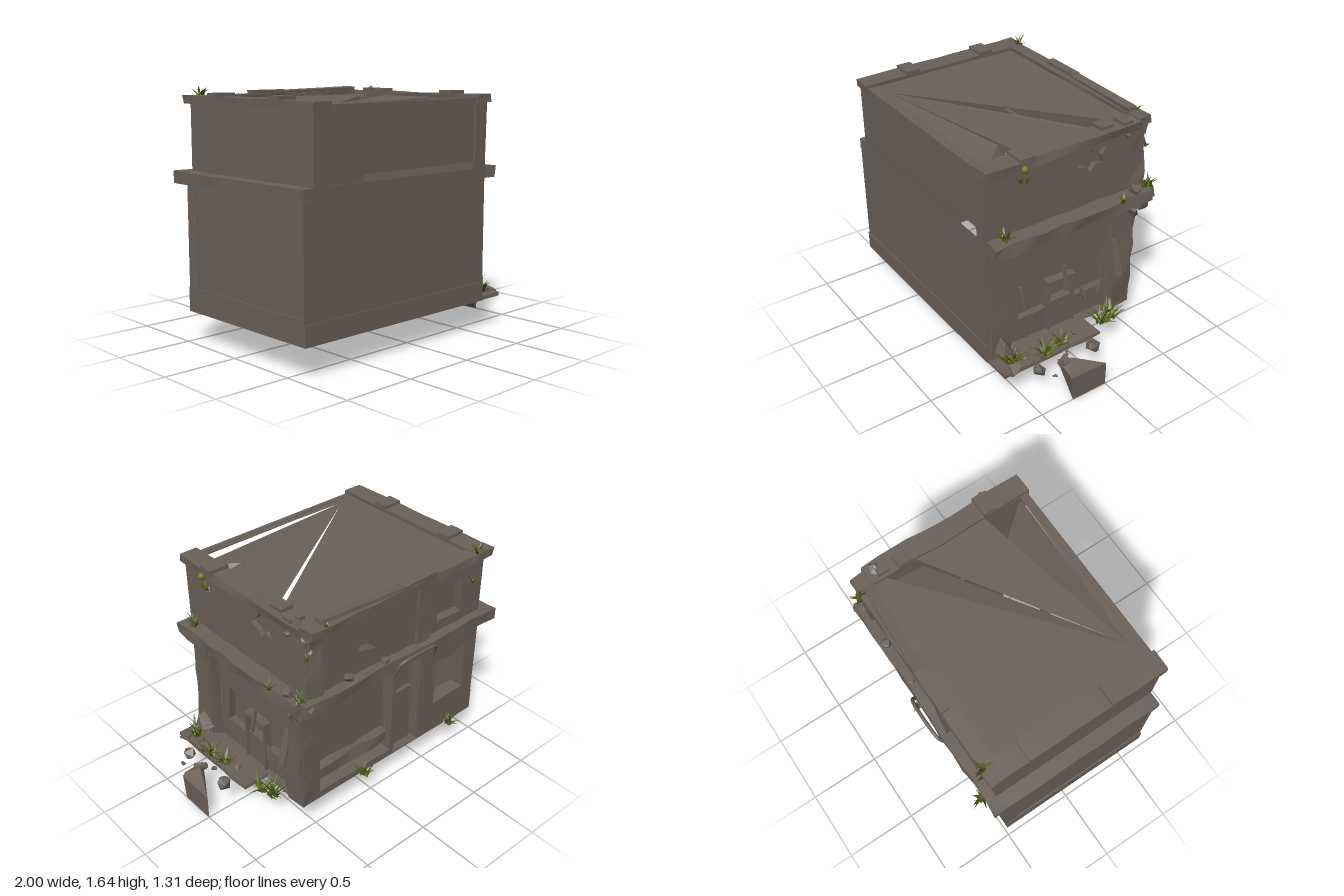
import * as THREE from 'three';
import { ConvexGeometry } from 'three/addons/geometries/ConvexGeometry.js';
import { mergeGeometries } from 'three/addons/utils/BufferGeometryUtils.js';

const mat = (name, color, o = {}) => Object.assign(new THREE.MeshStandardMaterial({ color, ...o }), { name });

export function createModel() {
  const root = new THREE.Group();
  root.name = 'ruinedShop';
  const stone = mat('stone', 0x6a6058);
  const sheet = mat('roofSheet', 0x6a6058, { side: THREE.DoubleSide });
  const leaf = mat('leaf', 0x4f5a1c, { side: THREE.DoubleSide });
  const dryLeaf = mat('dryLeaf', 0x6c7028, { side: THREE.DoubleSide });

  let seed = 7;
  const rnd = () => (seed = (seed * 16807) % 2147483647) / 2147483647;
  const add = (name, geo, m = stone) => {
    const mesh = new THREE.Mesh(geo, m);
    mesh.name = name;
    root.add(mesh);
    return mesh;
  };
  const box = (name, x0, x1, y0, y1, z0, z1) =>
    add(name, new THREE.BoxGeometry(x1 - x0, y1 - y0, z1 - z0).translate((x0 + x1) / 2, (y0 + y1) / 2, (z0 + z1) / 2));
  // Box whose subdivided surface is worn by position-based noise
  const worn = (name, x0, x1, y0, y1, z0, z1, amp) => {
    const n = (a, b) => Math.max(1, Math.round((b - a) / 0.12));
    const g = new THREE.BoxGeometry(x1 - x0, y1 - y0, z1 - z0, n(x0, x1), n(y0, y1), n(z0, z1));
    g.translate((x0 + x1) / 2, (y0 + y1) / 2, (z0 + z1) / 2);
    const p = g.attributes.position;
    const h = (x, y, z, k) => {
      const s = Math.sin(Math.round(x * 1000) * 0.127 + Math.round(y * 1000) * 0.311 + Math.round(z * 1000) * 0.747 + k) * 43758.5;
      return (s - Math.floor(s) - 0.5) * 2 * amp;
    };
    for (let i = 0; i < p.count; i++) {
      const x = p.getX(i), y = p.getY(i), z = p.getZ(i);
      p.setXYZ(i, x + h(x, y, z, 1), y + h(x, y, z, 2) * 0.5, z + h(x, y, z, 3));
    }
    g.computeVertexNormals();
    return add(name, g);
  };
  const poly = (pts, Type = THREE.Shape) => new Type(pts.map(([a, b]) => new THREE.Vector2(a, b)));
  const rect = (a0, a1, b0, b1) => [[a0, b0], [a1, b0], [a1, b1], [a0, b1]];
  const pierced = (outline, holes, depth) => {
    const s = poly(outline);
    s.holes = holes.map(h => poly(h, THREE.Path));
    return new THREE.ExtrudeGeometry(s, { depth, bevelEnabled: false });
  };
  // Outline in (x, y), back face at z
  const backWall = (name, z, depth, outline, holes) => add(name, pierced(outline, holes, depth).translate(0, 0, z));
  // Outline in (z, y), outer face at x
  const sideWall = (name, x, depth, outline, holes) =>
    add(name, pierced(outline, holes, depth).rotateY(-Math.PI / 2).translate(x, 0, 0));

  // Lower storey
  add('frontWall', new THREE.PlaneGeometry(1.58, 0.9).translate(-0.19, 0.65, 0.63));
  box('frontPlinth', -0.98, 0.6, 0.2, 0.33, 0.625, 0.637);
  add('floorUnderside', new THREE.PlaneGeometry(1.58, 1.13).rotateX(Math.PI / 2).translate(-0.19, 0.2, 0.065));
  box('leftWall', -0.97, -0.87, 0.2, 1.05, -0.49, 0.629);
  box('leftPlinth', -0.98, -0.96, 0.2, 0.36, -0.5, 0.629);
  backWall('lowerBackWall', -0.5, 0.1, rect(-0.975, 0.6, 0.2, 1.05), [
    [[-0.87, 0.45], [-0.58, 0.44], [-0.57, 0.8], [-0.68, 0.78], [-0.86, 0.81]],
    rect(-0.43, -0.2, 0.21, 0.9),
    rect(-0.17, 0.46, 0.25, 0.9),
  ]);
  box('doorwayBacking', -0.45, -0.18, 0.2, 0.92, -0.41, -0.39);
  box('backDoor', -0.41, -0.23, 0.2, 0.65, -0.44, -0.41);
  box('shopWindowBacking', -0.18, 0.5, 0.2, 0.92, -0.41, -0.39);
  worn('brokenSill', -0.15, 0.45, 0.33, 0.41, -0.47, -0.41, 0.015);
  sideWall('lowerRightWall', 0.6, 0.1, rect(-0.5, 0.63, 0.2, 1.05), [
    [[-0.34, 0.21], [0.44, 0.21], [0.45, 0.55], [0.44, 0.9], [-0.34, 0.9]],
  ]);
  worn('cornerRubbleFront', 0.56, 0.612, 0.22, 1.02, 0.47, 0.62, 0.011);
  worn('cornerRubbleBack', 0.53, 0.612, 0.2, 1.02, -0.5, -0.36, 0.014);

  // Boarded and broken side entrance
  box('entranceBacking', 0.47, 0.49, 0.2, 0.92, -0.36, 0.46);
  box('entranceSill', 0.49, 0.54, 0.2, 0.37, -0.34, 0.44);
  sideWall('entranceFrame', 0.54, 0.05, rect(-0.34, 0.44, 0.37, 0.9), [
    [[-0.33, 0.38], [0.36, 0.38], [0.33, 0.66], [0.02, 0.66], [-0.2, 0.6], [-0.33, 0.72]],
  ]);
  sideWall('sideDoorFrame', 0.57, 0.06, rect(-0.07, 0.14, 0.2, 0.59), [rect(-0.055, 0.125, 0.21, 0.57)]);
  box('sideDoor', 0.49, 0.55, 0.2, 0.42, -0.06, 0.13);
  [[0.36, 0.58, 0.12, 0.16], [0.02, 0.59, -0.08, 0.18], [-0.13, 0.41, 0.25, 0.1], [-0.27, 0.41, -0.35, 0.1]].forEach(([z, y, r, len]) => {
    const plank = add('loosePlank', new THREE.BoxGeometry(0.018, len, 0.018));
    plank.position.set(0.58, y, z);
    plank.rotation.set(r, 0, 0.15);
  });
  const board = add('hangingBoard', new THREE.BoxGeometry(0.02, 0.32, 0.05));
  board.position.set(0.62, 0.65, -0.36);
  board.rotation.z = 0.25;

  // Cornice between the storeys
  worn('leftCornice', -0.995, -0.88, 1.03, 1.1, -0.6, 0.63, 0.004);
  worn('backCornice', -0.99, 0.66, 1.02, 1.1, -0.615, -0.45, 0.01);
  worn('rightCornice', 0.52, 0.705, 1.03, 1.11, -0.56, 0.63, 0.013);
  for (const z of [0.49, 0.03, -0.47]) box('corniceBracket', 0.6, 0.645, z === 0.03 ? 0.99 : 0.93, 1.03, z - 0.012, z + 0.012);
  const bar = new THREE.CatmullRomCurve3([[-0.42, 0.98, -0.6], [-0.4, 1.07, -0.635], [-0.37, 1.09, -0.645],
    [-0.12, 1.09, -0.645], [-0.09, 1.07, -0.635], [-0.07, 0.98, -0.6]].map(p => new THREE.Vector3(...p)));
  add('signBar', new THREE.TubeGeometry(bar, 30, 0.012, 6));

  // Upper storey; the front panel leaves a slot at its foot
  box('upperLeftWall', -0.9, -0.8, 1.05, 1.55, -0.54, 0.63);
  add('upperFrontPanel', new THREE.PlaneGeometry(1.34, 0.395).translate(-0.15, 1.3425, 0.615));
  backWall('upperBackWall', -0.55, 0.06, rect(-0.9, 0.6, 1.05, 1.55), [
    [[-0.72, 1.17], [-0.49, 1.18], [-0.5, 1.42], [-0.7, 1.43]],
    [[0.05, 1.22], [0.2, 1.26], [0.16, 1.35], [0.07, 1.32]],
  ]);
  box('upperBackLining', -0.85, 0.55, 1.13, 1.54, -0.49, -0.45);
  worn('upperPilaster', -0.4, -0.29, 1.1, 1.53, -0.575, -0.54, 0.01);
  const star = [[-0.02, 1.47], [-0.08, 1.44], [-0.12, 1.49], [-0.16, 1.45], [-0.25, 1.48], [-0.22, 1.42],
    [-0.23, 1.36], [-0.17, 1.38], [-0.13, 1.33], [-0.1, 1.37], [-0.03, 1.39]];
  sideWall('upperRightWall', 0.6, 0.04, [[-0.54, 1.05], [0.63, 1.05], [0.64, 1.55], [-0.54, 1.55]], [star]);
  box('upperRightLining', 0.5, 0.565, 1.05, 1.55, -0.5, 0.63);
  worn('upperCornerRubble', 0.5, 0.605, 1.1, 1.53, -0.565, -0.46, 0.02);

  // Roof rim and parapet blocks
  worn('leftRim', -0.92, -0.78, 1.53, 1.58, -0.6, 0.645, 0.003);
  worn('rightRim', 0.5, 0.63, 1.53, 1.58, -0.5, 0.645, 0.01);
  worn('backRim', -0.92, 0.6, 1.53, 1.58, -0.6, -0.5, 0.007);
  box('frontRim', -0.8, 0.52, 1.53, 1.56, 0.6, 0.635);
  const slab = add('tiltedRimSlab', new THREE.BoxGeometry(0.66, 0.025, 0.06));
  slab.position.set(0.17, 1.59, -0.55);
  slab.rotation.set(0.1, -0.05, 0.03);
  for (const [x0, x1, z0, z1] of [[-0.92, -0.78, -0.34, -0.24], [-0.92, -0.78, 0.24, 0.34], [0.52, 0.62, -0.44, -0.36],
    [0.5, 0.59, -0.31, -0.21], [0.5, 0.64, 0.31, 0.41], [-0.41, -0.12, -0.6, -0.54]]) {
    box('parapetBlock', x0, x1, 1.55, 1.602, z0, z1);
  }

  // Split roof: three level sheets with fallen sheets sloping down between them
  const flat = (name, pts) => {
    const g = new THREE.ShapeGeometry(poly(pts.map(([x, z]) => [x, -z]))).rotateX(-Math.PI / 2).translate(0, 1.556, 0);
    add(name, g, sheet);
  };
  flat('mainRoofSheet', [[-0.85, -0.55], [0.52, -0.55], [0.52, -0.42], [-0.66, 0.55], [-0.66, 0.63], [-0.85, 0.63]]);
  flat('middleRoofSheet', [[-0.66, 0.55], [0.52, -0.2], [0.52, 0.31]]);
  flat('frontRoofSheet', [[-0.66, 0.55], [0.52, 0.58], [0.52, 0.63], [-0.66, 0.63]]);
  const fallen = (...pts) => {
    const g = new THREE.BufferGeometry().setFromPoints(pts.map(p => new THREE.Vector3(...p)));
    g.computeVertexNormals();
    add('fallenRoofSheet', g, sheet);
  };
  fallen([-0.68, 1.555, 0.565], [0.52, 1.42, -0.16], [0.52, 1.46, -0.46]);
  fallen([-0.68, 1.555, 0.555], [0.52, 1.48, 0.6], [0.3, 1.53, 0.34]);
  fallen([0.3, 1.53, 0.34], [0.52, 1.48, 0.6], [0.52, 1.25, 0.28]);

  // Pavement, broken slab and rubble
  worn('pavement', 0.58, 0.785, 0.2, 0.225, -0.12, 0.63, 0.005);
  add('brokenSlab', new ConvexGeometry([[0.84, 0.22, 0.27], [0.91, 0.25, 0.2], [0.98, 0.2, 0.28], [1, 0.17, 0], [1, 0, 0],
    [1, 0, 0.26], [1, 0.18, 0.28]].map(p => new THREE.Vector3(...p))));
  const rock = (x, y, z, r) => {
    const pts = Array.from({ length: 12 }, () => new THREE.Vector3(rnd() - 0.5, (rnd() - 0.5) * 0.8, rnd() - 0.5)
      .normalize().multiplyScalar(r));
    add('rubble', new ConvexGeometry(pts)).position.set(x, y, z);
  };
  [[0.86, 0.22, 0, 0.05], [0.85, 0.21, 0.41, 0.045], [0.88, 0.22, 0.24, 0.05], [0.78, 0.23, 0.55, 0.05], [0.94, 0.2, 0.36, 0.018],
    [0.82, 0.21, 0.17, 0.02], [0.72, 0.23, 0.45, 0.03], [0.7, 0.23, 0.05, 0.03], [0.62, 0.3, 0.53, 0.08],
    [0.66, 1.13, -0.45, 0.045], [0.65, 1.0, -0.52, 0.055], [0.63, 0.95, -0.46, 0.05], [0.62, 1.07, -0.58, 0.05],
    [0.58, 1.57, -0.43, 0.05], [0.58, 1.5, -0.52, 0.05], [0.57, 1.42, -0.54, 0.035], [0.3, 1.13, -0.58, 0.035],
    [0.0, 1.12, -0.58, 0.03], [0.61, 1.5, -0.4, 0.025]].forEach(a => rock(...a));

  // Grass tufts made of narrow bent blades
  const tuft = (x, y, z, size, count, m = leaf) => {
    const blades = [];
    for (let i = 0; i < count; i++) {
      const h = size * (0.6 + rnd() * 0.5);
      const g = new THREE.PlaneGeometry(0.028, h, 1, 3);
      const p = g.attributes.position;
      for (let k = 0; k < p.count; k++) {
        const t = p.getY(k) / h + 0.5;
        p.setXYZ(k, p.getX(k) * (1 - t * 0.95), t * h, t * t * h * 0.35);
      }
      g.rotateX(rnd() * 0.75).rotateY(i * 2.4 + rnd());
      g.translate((rnd() - 0.5) * size * 0.4, 0, (rnd() - 0.5) * size * 0.4);
      g.computeVertexNormals();
      blades.push(g);
    }
    add('grassTuft', mergeGeometries(blades), m).position.set(x, y, z);
  };
  [[0.7, 0.22, 0.53, 0.13, 20], [0.75, 0.21, 0.31, 0.12, 20], [0.73, 0.22, 0.16, 0.11, 18], [0.69, 0.2, -0.2, 0.13, 18],
    [0.68, 0.2, -0.29, 0.14, 18], [0.1, 0.21, -0.54, 0.1, 14], [-0.72, 0.21, -0.54, 0.11, 16], [0.66, 1.11, 0.52, 0.1, 12],
    [0.66, 1.11, -0.55, 0.1, 12], [-0.8, 1.57, -0.58, 0.08, 14], [0.48, 1.57, -0.58, 0.05, 8], [-0.8, 1.36, -0.56, 0.08, 11],
    [0.7, 1.1, -0.32, 0.06, 9], [0.6, 1.38, -0.56, 0.05, 7]].forEach(a => tuft(...a));
  for (const [x, z] of [[0.72, 0.51], [0.76, 0.29], [0.71, -0.22]]) tuft(x, 0.22, z, 0.12, 7, dryLeaf);

  // Hanging pod plant on the side wall
  add('seedPod', new THREE.IcosahedronGeometry(0.024, 1).translate(0.65, 1.54, 0.39), dryLeaf);
  for (const [y, z] of [[1.45, 0.4], [1.44, 0.36]]) tuft(0.63, y, z, 0.05, 4);

  return root;
}
